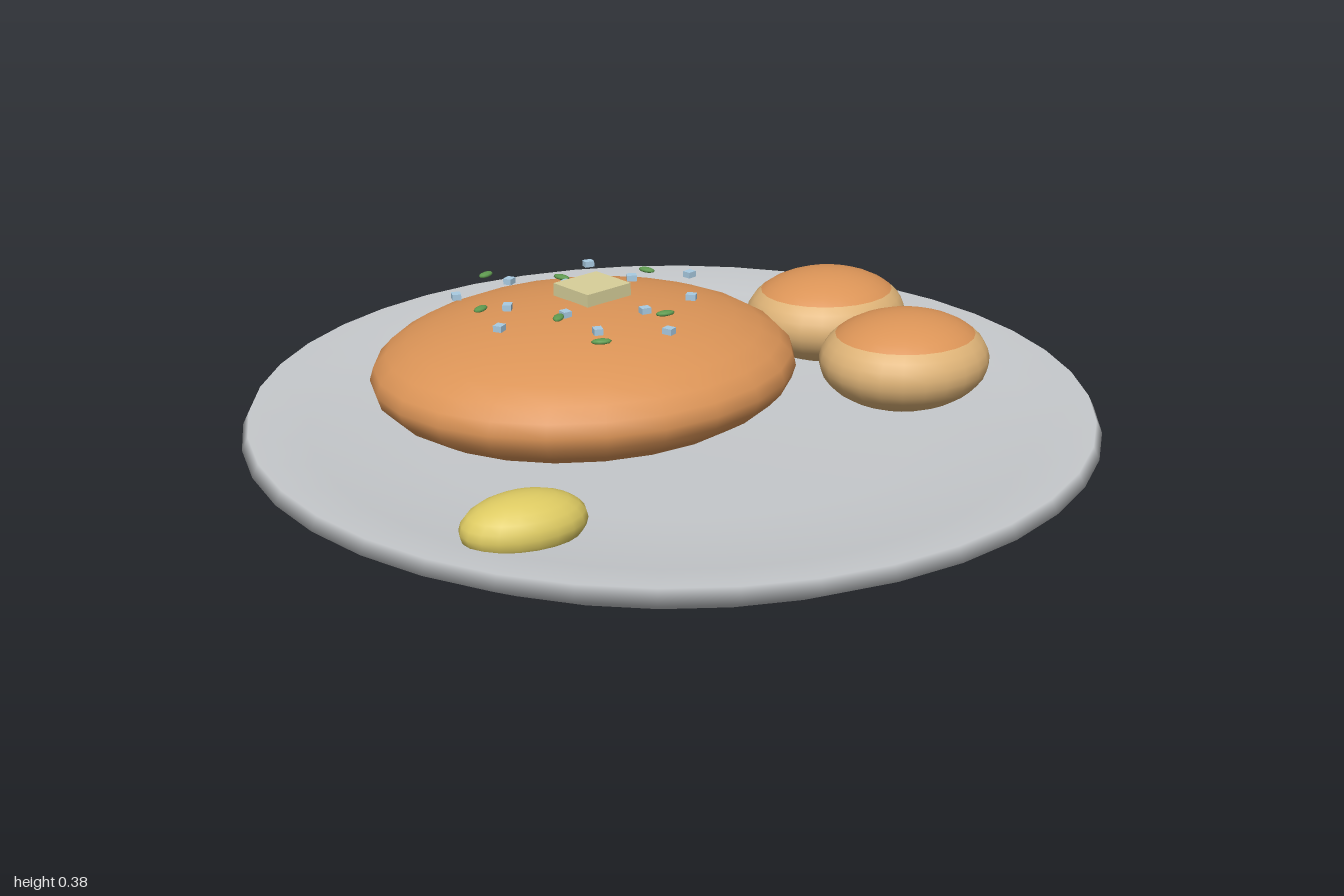
import * as THREE from 'three';

const mat = (name, color, side = THREE.FrontSide) => {
  const m = new THREE.MeshStandardMaterial({ color, side });
  m.name = name;
  return m;
};

export function createModel() {
  const plateGrey = mat('plateGrey', 0xc6c9cc);
  const crust = mat('goldenCrust', 0xdb9457);
  const dough = mat('paleDough', 0xdfb478);
  const lemonYellow = mat('lemonYellow', 0xddca62);
  const butterCream = mat('butterCream', 0xd8d09a);
  const herbGreen = mat('herbGreen', 0x5f9a50);
  const saltBlue = mat('saltBlue', 0xa9cbe2);

  const root = new THREE.Group();
  root.name = 'platedMeal';
  const add = (name, geometry, material, x, y, z, parent = root) => {
    const mesh = new THREE.Mesh(geometry, material);
    mesh.name = name;
    mesh.position.set(x, y, z);
    parent.add(mesh);
    return mesh;
  };
  const ball = (rx, ry, rz, w, h, t0 = 0, t1 = Math.PI) =>
    new THREE.SphereGeometry(1, w, h, 0, Math.PI * 2, t0, t1).scale(rx, ry, rz);

  // Shallow dished plate, flared out to a thin lip
  const profile = [[0, 0], [0.9, 0], [1, 0.06], [0.985, 0.09], [0.85, 0.058], [0.6, 0.043], [0, 0.037]];
  add('plate', new THREE.LatheGeometry(profile.map(p => new THREE.Vector2(...p)), 40), plateGrey, 0, 0, 0);

  // Main rounded patty
  add('patty', ball(0.498, 0.155, 0.435, 24, 16), crust, -0.217, 0.195, -0.003);

  // Two buns: pale body with a browned cap
  const capAngle = 0.96;
  for (const z of [-0.19, 0.183]) {
    const bun = new THREE.Group();
    bun.name = 'bun';
    bun.position.set(0.53, 0.15, z);
    root.add(bun);
    add('bunBody', ball(0.21, 0.115, 0.186, 24, 12, capAngle, Math.PI - capAngle), dough, 0, 0, 0, bun);
    add('bunCap', ball(0.21, 0.115, 0.186, 24, 6, 0, capAngle), crust, 0, 0, 0, bun);
  }

  // Lemon wedge beside the patty
  add('lemon', ball(0.136, 0.066, 0.087, 20, 12), lemonYellow, -0.565, 0.08, 0.496);

  // Butter pat
  add('butter', new THREE.BoxGeometry(0.13, 0.03, 0.12), butterCream, -0.188, 0.363, -0.03).rotation.y = 0.31;

  // Herb flecks: x, z, turn
  const herbs = [
    [-0.36, -0.27, 0.6], [-0.205, -0.175, -1.1], [0, -0.14, -1.1], [-0.455, -0.04, 0.7],
    [-0.32, 0.09, 0.95], [-0.095, 0.165, 0], [-0.295, 0.272, -0.25],
  ];
  const herbGeo = ball(0.023, 0.006, 0.012, 10, 6);
  for (const [x, z, turn] of herbs) add('herbFleck', herbGeo, herbGreen, x, 0.352, z).rotation.y = turn;

  // Salt crystals: x, z
  const salt = [
    [-0.105, -0.25], [-0.325, -0.205], [-0.475, -0.15], [-0.21, -0.13], [-0.055, -0.105],
    [0.08, -0.07], [-0.395, -0.03], [-0.295, 0.07], [0.01, 0.083], [-0.125, 0.123],
    [-0.46, 0.095], [-0.275, 0.205], [-0.135, 0.27],
  ];
  const saltGeo = new THREE.BoxGeometry(0.023, 0.014, 0.02);
  salt.forEach(([x, z], i) => {
    add('saltCrystal', saltGeo, saltBlue, x, 0.351, z).rotation.y = i * 0.7;
  });

  return root;
}
